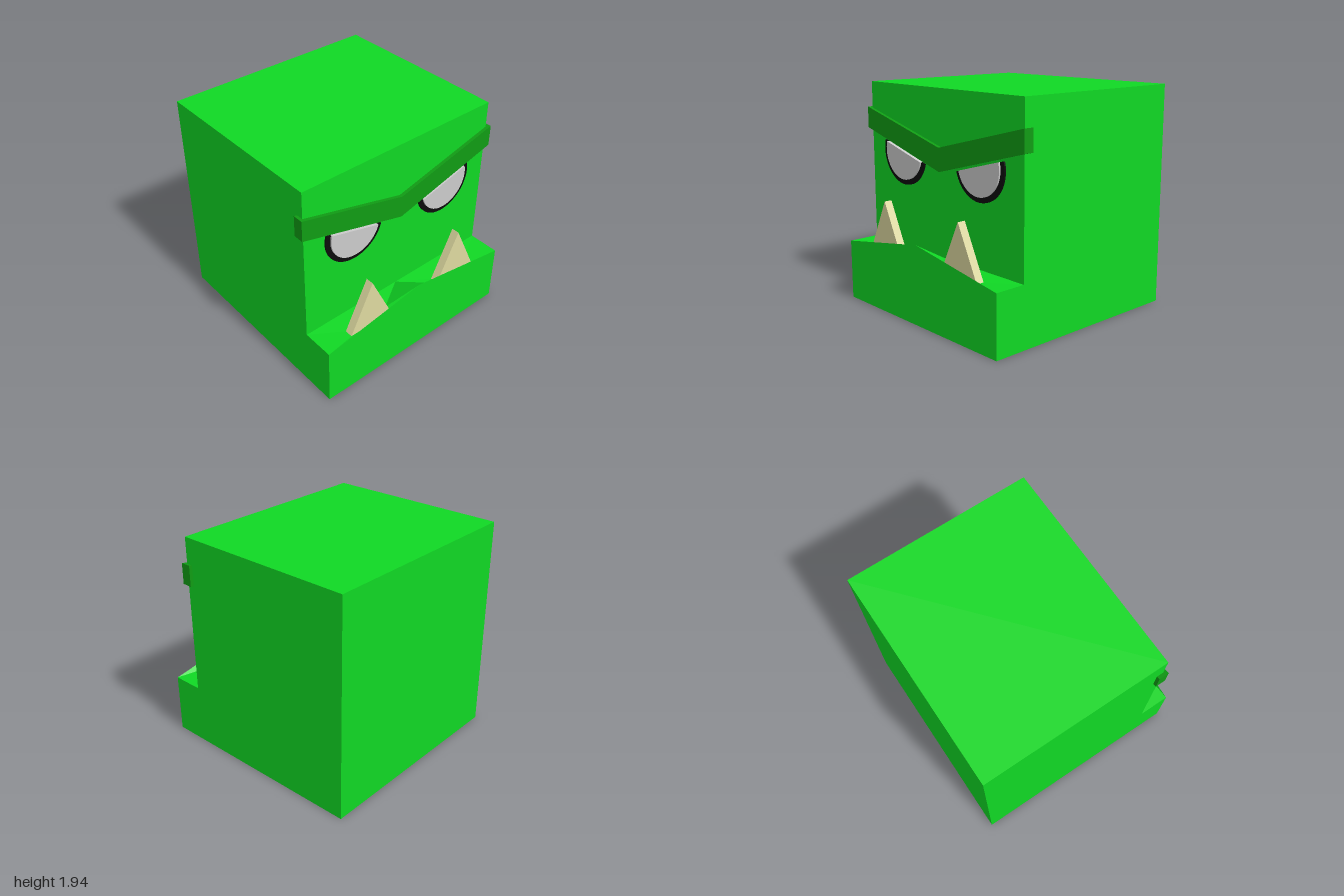
import * as THREE from 'three';

const mat = (color) => new THREE.MeshStandardMaterial({ color, flatShading: true });

export function createModel() {
  const model = new THREE.Group();
  const green = mat(0x10d824), darkGreen = mat(0x109c14), black = mat(0x0c0c0c);
  const grey = mat(0xcccccc), ivory = mat(0xded9a0);

  const add = (name, geometry, material, x = 0, y = 0, z = 0) => {
    const mesh = new THREE.Mesh(geometry, material);
    mesh.name = name;
    mesh.position.set(x, y, z);
    model.add(mesh);
    return mesh;
  };
  const prism = (shape, depth) =>
    new THREE.ExtrudeGeometry(shape, { depth, bevelEnabled: false, curveSegments: 24 });
  const polygon = (points) => new THREE.Shape(points.map(([x, y]) => new THREE.Vector2(x, y)));

  // Block head
  const W = 0.97, back = 0.69, front = 0.97, rim = 0.53, peak = 0.69;
  add('head', new THREE.BoxGeometry(2 * W, 1.94, W + back), green, 0, 0.97, (back - W) / 2);

  // Jaw: peaked front lip, with the mouth floor sinking to the foot of each tooth
  const toothX = 0.485, toothHalf = 0.215, z0 = 0.855, z1 = 0.925, floor = 0.52;
  const pos = [];
  const face = (pts, flip) => {
    const p = flip ? [...pts].reverse() : pts;
    for (let i = 1; i < p.length - 1; i++) pos.push(...p[0], ...p[i], ...p[i + 1]);
  };
  for (const s of [1, -1]) {
    const flip = s < 0;
    const outer = [[0, rim, back], [0, peak, front], [s * W, rim, front], [s * W, rim, back]];
    const a = s * (toothX - toothHalf), b = s * (toothX + toothHalf);
    const inner = [[a, floor, z0], [a, floor, z1], [b, floor, z1], [b, floor, z0]];
    for (let i = 0; i < 4; i++) {
      const j = (i + 1) % 4;
      face([outer[i], outer[j], inner[j], inner[i]], flip);
    }
    face(inner, flip);
    face([[0, 0, front], [s * W, 0, front], outer[2], outer[1]], flip);
    face([[s * W, 0, front], [s * W, 0, back], outer[3], outer[2]], flip);
    face([[0, 0, back], [s * W, 0, back], [s * W, 0, front], [0, 0, front]], flip);
  }
  const jaw = new THREE.BufferGeometry();
  jaw.setAttribute('position', new THREE.Float32BufferAttribute(pos, 3));
  jaw.computeVertexNormals();
  add('jaw', jaw, green);

  // Frowning brow
  const brow = polygon([[-1, 1.53], [0, 1.26], [1, 1.53], [1, 1.715], [0, 1.46], [-1, 1.715]]);
  add('brow', prism(brow, 0.09), darkGreen, 0, 0, 0.63);

  // Half disc below a straight upper lid
  const halfDisc = (r) => {
    const shape = new THREE.Shape();
    shape.absarc(0, 0, r, Math.PI, 2 * Math.PI, false);
    shape.closePath();
    return shape;
  };

  for (const s of [1, -1]) {
    const side = s > 0 ? 'left' : 'right';
    // Tooth
    const tooth = polygon([[-toothHalf, 0], [toothHalf, 0], [0, 0.445]]);
    add(side + 'Tooth', prism(tooth, z1 - z0), ivory, s * toothX, floor, z0);
    // Eye with dark rim, tilted along the brow
    const tilt = s * 0.265;
    add(side + 'EyeRim', prism(halfDisc(0.287), 0.025), black, s * 0.485, 1.369, 0.68).rotation.z = tilt;
    add(side + 'Eye', prism(halfDisc(0.243), 0.04), grey, s * 0.485, 1.37, 0.68).rotation.z = tilt;
  }
  return model;
}
